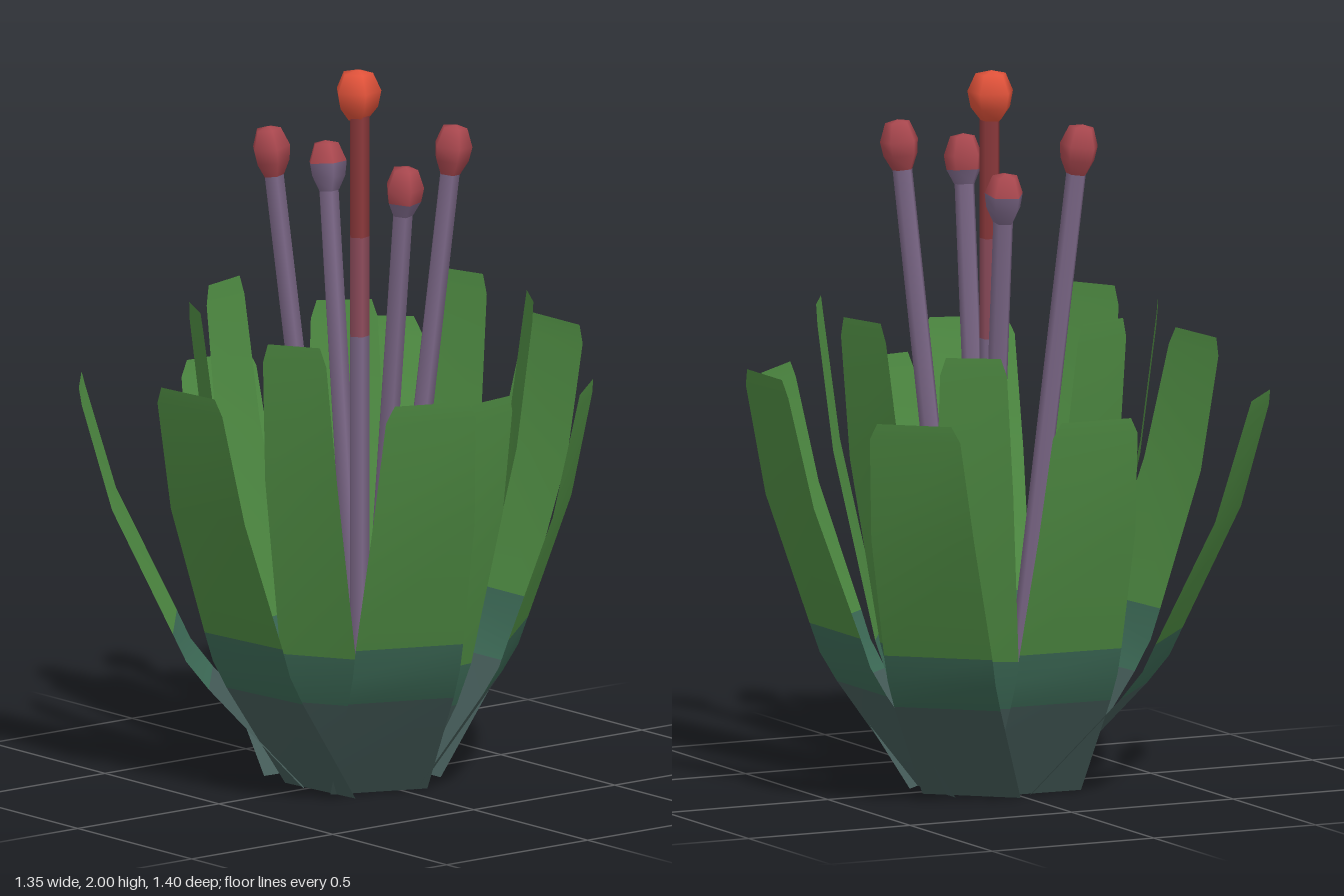
import * as THREE from 'three';

const mat = (name, color, side = THREE.FrontSide) => {
  const m = new THREE.MeshStandardMaterial({ color, side });
  m.name = name;
  return m;
};

export function createModel() {
  const petalMats = [
    mat('slate base', 0x455c59, THREE.DoubleSide),
    mat('teal band', 0x3d6b57, THREE.DoubleSide),
    mat('leaf green', 0x4f8c43, THREE.DoubleSide),
  ];
  const purple = mat('filament purple', 0x7c6888);
  const mauve = mat('mauve', 0x8e4c5c);
  const maroon = mat('maroon', 0x8c393c);
  const red = mat('anther red', 0xa8474e);
  const orange = mat('stigma orange', 0xe0523a);

  const root = new THREE.Group();
  root.name = 'flower';

  // Petal rows: height fraction, outward fraction, half width, colour index of the strip above
  const upperRows = [[0.7, 0.85, 0.147, 2], [0.96, 0.985, 0.129, 2], [1, 1, 0.106, 2]];
  const outerRows = [
    [0, 0, 0.14, 0], [0.25, 0.42, 0.152, 1], [0.32, 0.52, 0.154, 1], [0.39, 0.58, 0.155, 2], ...upperRows,
  ];
  const innerRows = [
    [0, 0, 0.13, 0], [0.2, 0.35, 0.15, 1], [0.31, 0.5, 0.154, 2], ...upperRows,
  ];

  // Flat-section petal that bends upward as it leaves the centre
  function petal(name, rows, widthScale, [degrees, tip, height, lateral, base]) {
    const a = THREE.MathUtils.degToRad(degrees);
    const c = Math.cos(a), s = Math.sin(a);
    const pos = [], index = [];
    const geo = new THREE.BufferGeometry();
    rows.forEach(([t, f, w, colour], i) => {
      const r = base + (tip - base) * f;
      for (const side of [-1, 1]) {
        const l = lateral + side * w * widthScale;
        pos.push(c * r + s * l, t * height, s * r - c * l);
      }
      if (i === rows.length - 1) return;
      const k = i * 2;
      index.push(k, k + 1, k + 3, k, k + 3, k + 2);
      geo.addGroup(i * 6, 6, colour);
    });
    geo.setAttribute('position', new THREE.Float32BufferAttribute(pos, 3));
    geo.setIndex(index);
    geo.computeVertexNormals();
    const mesh = new THREE.Mesh(geo, petalMats);
    mesh.name = name;
    root.add(mesh);
  }

  // Outer ring: angle, tip radius, height, sideways shift, base radius
  [
    [-90, 0.7, 1.2, 0.008, 0.18], [-138, 0.8, 1.13, 0, 0.19], [182, 0.58, 1.1, 0.055, 0.18],
    [131, 0.772, 1.12, 0, 0.15], [85, 0.697, 1.2, 0.04, 0.19], [22, 0.68, 1.2, 0, 0.18],
    [-41, 0.635, 1.13, 0, 0.18],
  ].forEach((p) => petal('outerPetal', outerRows, 1, p));

  // Inner ring
  [
    [-105, 0.472, 1.35, 0, 0.14], [-58, 0.473, 1.35, 0, 0.14], [-9, 0.488, 1.14, 0, 0.14],
    [59, 0.53, 1.33, 0, 0.14], [117, 0.465, 1.35, 0, 0.14], [163, 0.452, 1.35, 0, 0.14],
    [-147, 0.42, 1.26, 0, 0.14],
  ].forEach((p) => petal('innerPetal', innerRows, 0.72, p));

  // Five-sided turned piece from [radius, height] pairs
  const turned = (parent, name, profile, material) => {
    const pts = profile.map(([r, y]) => new THREE.Vector2(r, y));
    const mesh = new THREE.Mesh(new THREE.LatheGeometry(pts, 5), material);
    mesh.name = name;
    parent.add(mesh);
    return mesh;
  };

  // Stamens: base x, base z, top x, top y, top z, profile point where the head turns red
  [
    [0.03, -0.05, 0.175, 1.85, -0.195, 0], [-0.02, 0.04, -0.133, 1.85, 0.22, 0],
    [0.06, 0.03, 0.265, 1.78, 0.053, 1], [-0.04, -0.04, -0.245, 1.75, -0.075, 2],
  ].forEach(([bx, bz, tx, ty, tz, split]) => {
    const stamen = new THREE.Group();
    stamen.name = 'stamen';
    const dir = new THREE.Vector3(tx - bx, ty, tz - bz);
    const h = dir.length();
    stamen.position.set(bx, 0, bz);
    stamen.quaternion.setFromUnitVectors(new THREE.Vector3(0, 1, 0), dir.normalize());
    turned(stamen, 'filament', [[0, 0], [0.029, 0], [0.029, h - 0.13]], purple);
    const head = [[0.03, h - 0.14], [0.05, h - 0.1], [0.056, h - 0.06], [0.036, h - 0.008], [0, h]];
    if (split > 0) turned(stamen, 'antherBase', head.slice(0, split + 1), purple);
    turned(stamen, 'antherCap', head.slice(split), red);
    root.add(stamen);
  });

  // Central pistil
  const pistil = new THREE.Group();
  pistil.name = 'pistil';
  pistil.position.x = -0.004;
  turned(pistil, 'styleBase', [[0, 0], [0.029, 0], [0.029, 1.25]], purple);
  turned(pistil, 'styleMiddle', [[0.029, 1.25], [0.029, 1.53]], mauve);
  turned(pistil, 'styleTop', [[0.029, 1.53], [0.029, 1.88]], maroon);
  const stigmaProfile = [[0.03, 1.86], [0.058, 1.895], [0.067, 1.94], [0.044, 1.99], [0, 2]];
  turned(pistil, 'stigma', stigmaProfile, orange).position.x = -0.008;
  root.add(pistil);

  return root;
}
